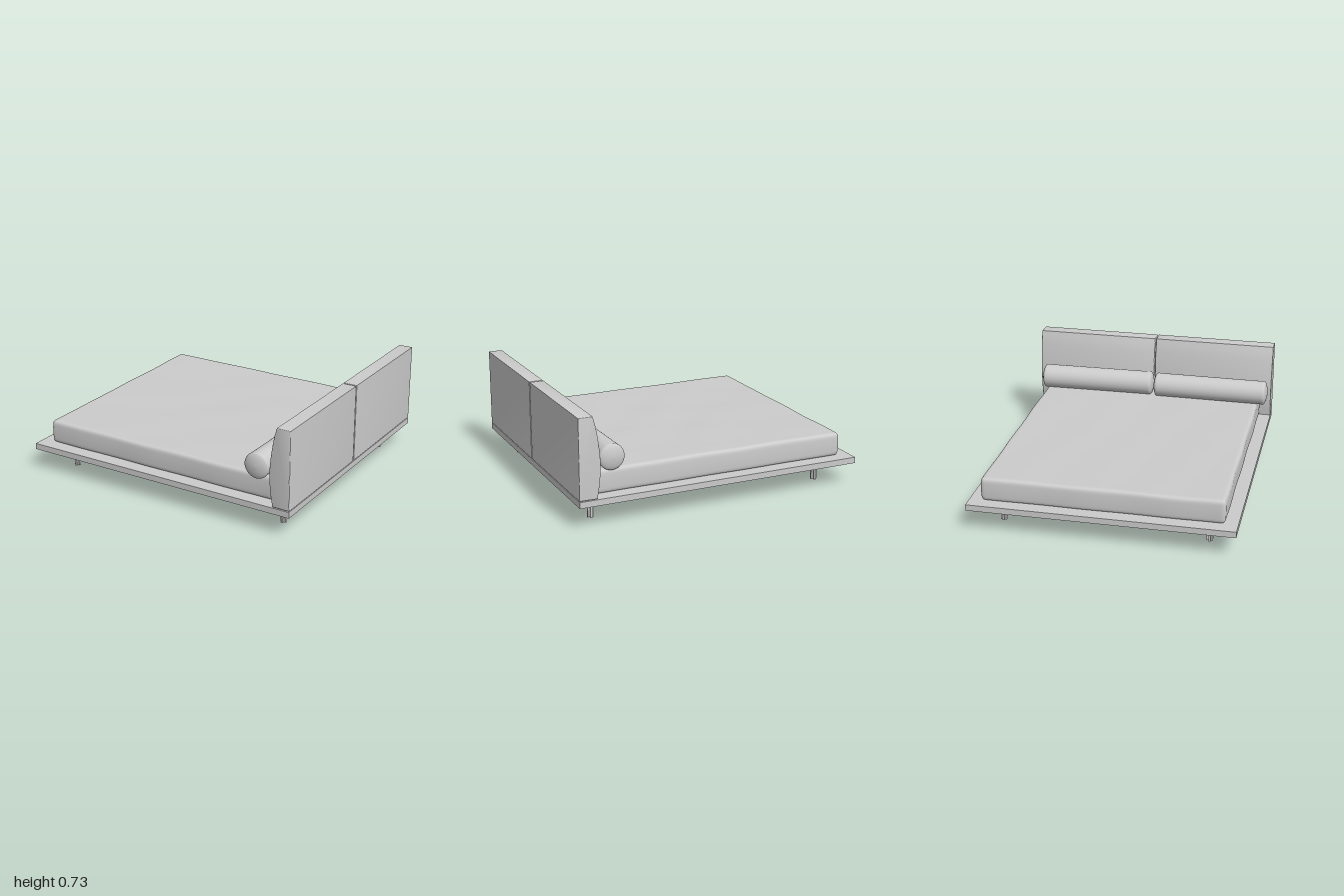
import * as THREE from 'three';
import { mergeVertices, toCreasedNormals } from 'three/addons/utils/BufferGeometryUtils.js';

const grey = new THREE.MeshStandardMaterial({ color: 0xcccccc });

function add(parent, name, geometry, x = 0, y = 0, z = 0) {
  const mesh = new THREE.Mesh(geometry, grey);
  mesh.name = name;
  mesh.position.set(x, y, z);
  parent.add(mesh);
  return mesh;
}

// Soft box with rounded edges and shallow diagonal fabric wrinkles
function mattressGeometry(w, h, d, r) {
  let geo = new THREE.BoxGeometry(2, 2, 2, 72, 14, 72);
  geo.deleteAttribute('uv');
  geo.deleteAttribute('normal');
  geo = mergeVertices(geo);
  const pos = geo.attributes.position;
  const half = new THREE.Vector3(w / 2, h / 2, d / 2);
  const inner = half.clone().subScalar(r);
  const p = new THREE.Vector3(), core = new THREE.Vector3();
  const crowd = (t) => 0.4 * t + 0.6 * Math.sin(t * Math.PI / 2); // denser rows near the edges
  for (let i = 0; i < pos.count; i++) {
    p.fromBufferAttribute(pos, i);
    p.set(crowd(p.x), crowd(p.y), crowd(p.z)).multiply(half);
    core.copy(p).clamp(inner.clone().negate(), inner);
    p.sub(core).setLength(r).add(core);
    const up = THREE.MathUtils.smoothstep(p.y, -h / 2, h / 2);
    const edge = Math.max(Math.abs(p.x) / half.x, Math.abs(p.z) / half.z);
    const fold = Math.sin(9 * p.z + 5 * p.x + 2 * Math.sin(3 * p.x)) + 0.6 * Math.sin(14 * p.z - 4 * p.x);
    p.y += up * 0.002 * fold * (1 - 0.5 * edge);
    // Sides bulge a little and ripple
    const side = Math.cos(p.y / h * Math.PI) * 0.004 + 0.002 * Math.sin(11 * (p.x + p.z));
    p.x += side * Math.pow(p.x / half.x, 9);
    p.z += side * Math.pow(p.z / half.z, 9);
    pos.setXYZ(i, p.x, p.y, p.z);
  }
  geo.computeVertexNormals();
  return geo;
}

// Cylinder cushion with piped rims and domed ends, lying along z
function bolsterGeometry(length, r) {
  const e = length / 2;
  const end = [[0, e], [0.35 * r, e - 0.002], [0.7 * r, e - 0.009], [0.9 * r, e - 0.017],
    [0.97 * r, e - 0.023], [r, e - 0.032], [0.985 * r, e - 0.05], [0.985 * r, e * 0.5]];
  const points = [...end.map(([x, y]) => [x, -y]), ...end.slice().reverse()]
    .map(([x, y]) => new THREE.Vector2(x, y));
  return new THREE.LatheGeometry(points, 48).rotateX(Math.PI / 2);
}

// Headboard section: upright back, gently curved front
function headboardGeometry(width) {
  const b = 0.005;
  const s = new THREE.Shape();
  s.moveTo(0.88 + b, 0.192 + b);
  s.lineTo(1 - b, 0.192 + b);
  s.lineTo(1 - b, 0.728 - b);
  s.lineTo(0.903 + b, 0.728 - b);
  s.splineThru([[0.884, 0.65], [0.868, 0.55], [0.858, 0.45], [0.858, 0.37], [0.866, 0.28], [0.88, 0.192]]
    .map(([x, y], i) => new THREE.Vector2(x + b, y + (i === 5 ? b : 0))));
  const geo = new THREE.ExtrudeGeometry(s, {
    depth: width - 2 * b, bevelThickness: b, bevelSize: b, bevelSegments: 3, curveSegments: 20,
  });
  geo.translate(0, 0, -width / 2 + b);
  return toCreasedNormals(geo, 0.6);
}

export function createModel() {
  const bed = new THREE.Group();
  bed.name = 'bed';

  // Platform: solid top over a wide rim, recessed underneath
  const platform = new THREE.Group();
  platform.name = 'platform';
  bed.add(platform);
  add(platform, 'platformTop', new THREE.BoxGeometry(2, 0.012, 1.78), 0, 0.181, 0);
  const rim = new THREE.Shape([[-1, -0.89], [1, -0.89], [1, 0.89], [-1, 0.89]]
    .map(([x, y]) => new THREE.Vector2(x, y)));
  rim.holes.push(new THREE.Path([[-0.86, -0.75], [-0.86, 0.75], [0.86, 0.75], [0.86, -0.75]]
    .map(([x, y]) => new THREE.Vector2(x, y))));
  const rimGeo = new THREE.ExtrudeGeometry(rim, { depth: 0.03, bevelEnabled: false });
  add(platform, 'platformRim', rimGeo.rotateX(-Math.PI / 2), 0, 0.145, 0);

  // Legs with a cross-shaped section
  for (const x of [-0.795, 0.855]) {
    for (const z of [-0.695, 0.695]) {
      const leg = new THREE.Group();
      leg.name = 'leg';
      leg.position.set(x, 0, z);
      add(leg, 'legPlate', new THREE.BoxGeometry(0.042, 0.175, 0.014), 0, 0.0875, 0);
      add(leg, 'legCrossPlate', new THREE.BoxGeometry(0.014, 0.175, 0.042), 0, 0.0875, 0);
      bed.add(leg);
    }
  }

  // Mattress
  add(bed, 'mattress', mattressGeometry(1.785, 0.162, 1.612, 0.025), -0.025, 0.267, 0);

  // Headboard in two halves
  const headboard = headboardGeometry(0.887);
  for (const side of [-1, 1]) add(bed, 'headboardHalf', headboard, 0, 0, side * 0.4465);

  // Two bolsters, each slightly askew
  const bolster = bolsterGeometry(0.856, 0.087);
  add(bed, 'backBolster', bolster, 0.757, 0.425, -0.413).rotation.y = 0.014;
  add(bed, 'frontBolster', bolster, 0.745, 0.425, 0.447).rotation.y = -0.006;

  return bed;
}
